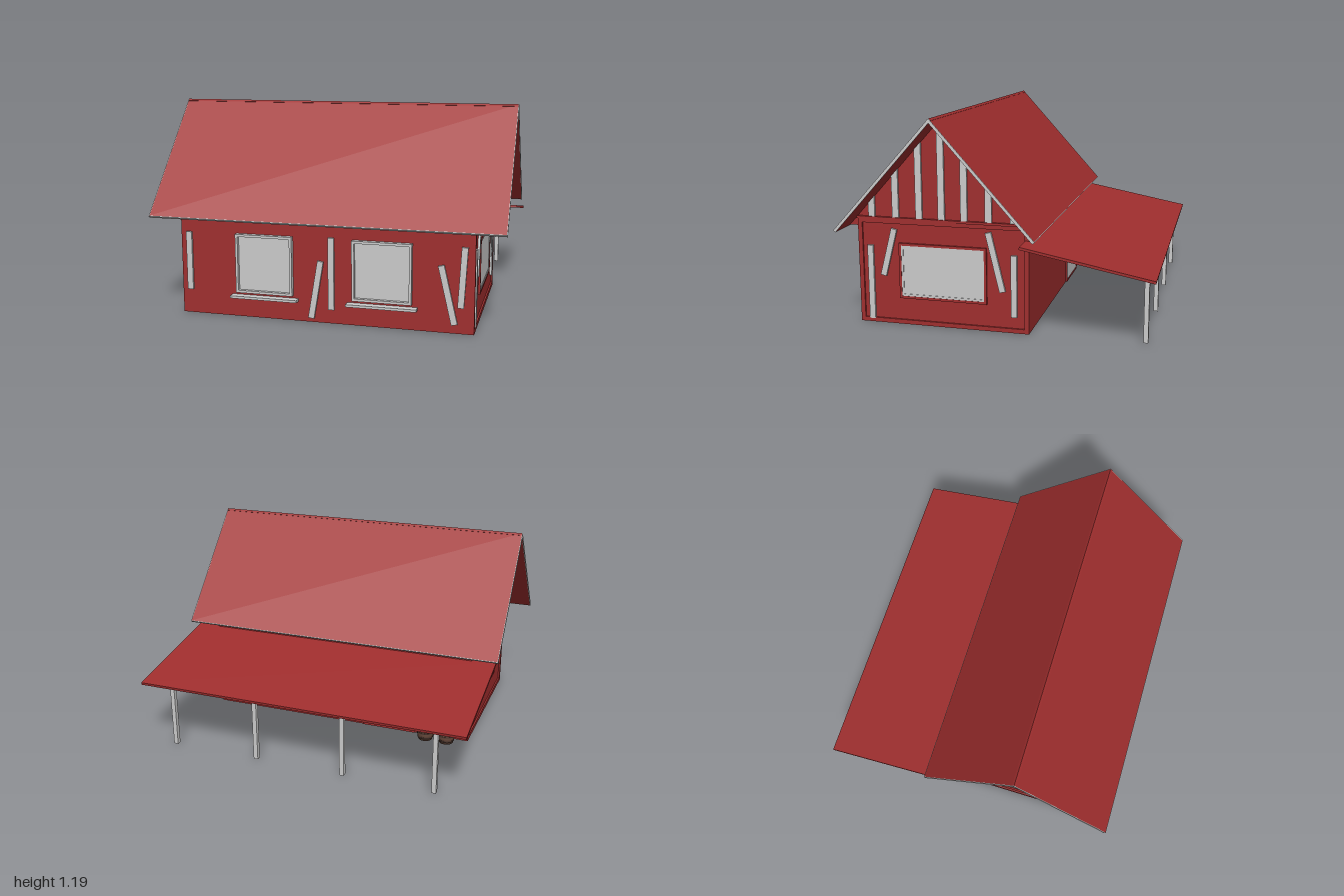
import * as THREE from 'three';

const RED = new THREE.MeshStandardMaterial({ color: 0xa02e2e });
const GREY = new THREE.MeshStandardMaterial({ color: 0xcccccc });
const BROWN = new THREE.MeshStandardMaterial({ color: 0x6b4c3e });
const DARK = new THREE.MeshStandardMaterial({ color: 0x4a362e });

const W = 0.825;           // half width of the walls
const Z0 = -0.18, Z1 = 0.81; // back and front walls
const RIDGE_Z = 0.315, RIDGE_Y = 1.19, EAVE_Y = 0.565, EAVE_R = 0.565;

function add(parent, name, geometry, material, x = 0, y = 0, z = 0) {
  const mesh = new THREE.Mesh(geometry, material);
  mesh.name = name;
  mesh.position.set(x, y, z);
  parent.add(mesh);
  return mesh;
}

function box(parent, name, material, w, h, d, x, y, z) {
  return add(parent, name, new THREE.BoxGeometry(w, h, d), material, x, y, z);
}

// Board lying on a wall, running between two points
function plank(parent, x0, y0, x1, y1, z) {
  const dx = x1 - x0, dy = y1 - y0;
  const m = box(parent, 'plank', GREY, 0.034, Math.hypot(dx, dy), 0.014, (x0 + x1) / 2, (y0 + y1) / 2, z);
  m.rotation.z = -Math.atan2(dx, dy);
}

// Rectangular frame with a hole, back face at z
function frame(parent, name, material, w, h, t, d, x, y, z) {
  const s = new THREE.Shape();
  s.moveTo(-w / 2, -h / 2).lineTo(w / 2, -h / 2).lineTo(w / 2, h / 2).lineTo(-w / 2, h / 2).closePath();
  const a = w / 2 - t, b = h / 2 - t;
  const hole = new THREE.Path();
  hole.moveTo(-a, -b).lineTo(-a, b).lineTo(a, b).lineTo(a, -b).closePath();
  s.holes.push(hole);
  return add(parent, name, new THREE.ExtrudeGeometry(s, { depth: d, bevelEnabled: false }), material, x, y, z);
}

// Window or door: frame around a recessed pane
function framedPane(parent, name, frameMat, w, h, t, d, x, y, z) {
  frame(parent, name + 'Frame', frameMat, w, h, t, d, x, y, z);
  box(parent, name + 'Pane', GREY, w - 2 * t, h - 2 * t, 0.008, x, y, z + 0.003);
}

// Gable end and side wall details; local +z points outward, u = 0 is the ridge
function sideWall(group, sign) {
  const side = new THREE.Group();
  side.name = sign > 0 ? 'leftSide' : 'rightSide';
  side.position.z = RIDGE_Z;
  side.rotation.y = sign * Math.PI / 2;
  group.add(side);

  frame(side, 'wallBorder', RED, Z1 - Z0, 0.605, 0.025, 0.01, 0, 0.3025, W);
  box(side, 'wallBeam', RED, 1.0, 0.014, 0.025, 0, 0.61, W + 0.004);
  framedPane(side, 'sideWindow', RED, 0.51, 0.32, 0.014, 0.012, 0, 0.312, W);
  frame(side, 'sideWindowSash', GREY, 0.482, 0.292, 0.012, 0.006, 0, 0.312, W + 0.004);

  // Gable battens cut to the roof slope
  const slope = (RIDGE_Y - EAVE_Y) / EAVE_R;
  for (const u of [-0.41, -0.268, -0.13, 0, 0.13, 0.268, 0.41]) {
    const top = v => RIDGE_Y - 0.018 - slope * Math.abs(v);
    const a = u - 0.019, b = u + 0.019;
    const s = new THREE.Shape();
    s.moveTo(a, 0.617).lineTo(b, 0.617).lineTo(b, top(b));
    if (u === 0) s.lineTo(0, top(0));
    s.lineTo(a, top(a)).closePath();
    add(side, 'gableBatten', new THREE.ExtrudeGeometry(s, { depth: 0.012, bevelEnabled: false }), GREY, 0, 0, W);
  }
  return side;
}

// One roof slope with pale edge trim
function roofSlope(group, sign) {
  const t = 0.016;
  const dy = RIDGE_Y - EAVE_Y;
  const len = Math.hypot(EAVE_R, dy);
  const g = new THREE.Group();
  g.name = sign > 0 ? 'frontRoof' : 'backRoof';
  g.position.set(0, RIDGE_Y, RIDGE_Z);
  g.rotation.y = sign > 0 ? 0 : Math.PI;
  group.add(g);
  const tilt = new THREE.Group();
  tilt.rotation.x = Math.atan2(dy, EAVE_R);
  g.add(tilt);
  box(tilt, 'roofPanel', RED, 1.992, t, len - 0.004, 0, -t / 2, (len - 0.004) / 2);
  for (const x of [-0.998, 0.998]) box(tilt, 'gableTrim', GREY, 0.004, t, len, x, -t / 2, len / 2);
  box(tilt, 'eaveTrim', GREY, 2, t, 0.004, 0, -t / 2, len - 0.002);
}

function barrel(group, x) {
  const g = new THREE.Group();
  g.name = 'barrel';
  g.position.set(x, 0.005, -0.237);
  const pts = [[0, 0], [0.042, 0], [0.05, 0.035], [0.053, 0.073], [0.05, 0.11], [0.042, 0.146], [0, 0.146]];
  const body = new THREE.LatheGeometry(pts.map(p => new THREE.Vector2(...p)), 20);
  add(g, 'barrelBody', body, BROWN);
  for (const [y, r] of [[0.02, 0.0475], [0.05, 0.052], [0.096, 0.052], [0.126, 0.0475]])
    add(g, 'barrelHoop', new THREE.CylinderGeometry(r + 0.001, r + 0.001, 0.008, 20), DARK, 0, y, 0);
  group.add(g);
}

export function createModel() {
  const house = new THREE.Group();
  house.name = 'house';

  // Walls
  box(house, 'walls', RED, 2 * W, 0.61, Z1 - Z0, 0, 0.305, (Z0 + Z1) / 2);

  // Gable block under the roof, reaching out to the eaves
  const tri = new THREE.Shape();
  tri.moveTo(-0.555, 0.56).lineTo(0.555, 0.56).lineTo(0, RIDGE_Y - 0.012).closePath();
  const gable = add(house, 'gable', new THREE.ExtrudeGeometry(tri, { depth: 2 * W, bevelEnabled: false }), RED, -W, 0, RIDGE_Z);
  gable.rotation.y = Math.PI / 2;

  roofSlope(house, 1);
  roofSlope(house, -1);

  // Side walls, with loose boards on the left one
  const left = sideWall(house, 1);
  sideWall(house, -1);
  for (const [z0, y0, z1, y1] of [[0.74, 0.02, 0.74, 0.45], [-0.095, 0.09, -0.095, 0.44], [0.665, 0.28, 0.595, 0.55], [-0.03, 0.23, 0.05, 0.56]])
    plank(left, RIDGE_Z - z0, y0, RIDGE_Z - z1, y1, W + 0.006);

  // Front windows with sills
  for (const x of [-0.335, 0.335]) {
    framedPane(house, 'frontWindow', GREY, 0.33, 0.335, 0.014, 0.028, x, 0.312, Z1);
    box(house, 'windowSill', GREY, 0.39, 0.014, 0.045, x, 0.121, Z1 + 0.022);
  }

  // Front boards
  for (const p of [[-0.785, 0.14, -0.785, 0.475], [0.05, 0.08, 0.05, 0.485], [-0.065, 0.025, -0.01, 0.35], [0.73, 0.05, 0.655, 0.37], [0.762, 0.145, 0.78, 0.475]])
    plank(house, ...p, Z1 + 0.006);

  // Back door and the small window above it
  const back = new THREE.Group();
  back.name = 'backWall';
  back.rotation.y = Math.PI;
  house.add(back);
  framedPane(back, 'door', RED, 0.34, 0.32, 0.012, 0.01, 0.335, 0.162, -Z0);
  framedPane(back, 'transom', RED, 0.34, 0.14, 0.012, 0.01, 0.335, 0.4, -Z0);

  // Porch roof on posts
  const porch = box(house, 'porchRoof', RED, 1.95, 0.015, 0.73, 0, 0.454, -0.518);
  porch.rotation.x = -Math.atan2(0.135, 0.715);
  for (const x of [-0.8, -0.267, 0.267, 0.8]) box(house, 'porchPost', GREY, 0.026, 0.39, 0.026, x, 0.195, -0.815);

  barrel(house, -0.585);
  barrel(house, -0.715);
  return house;
}
